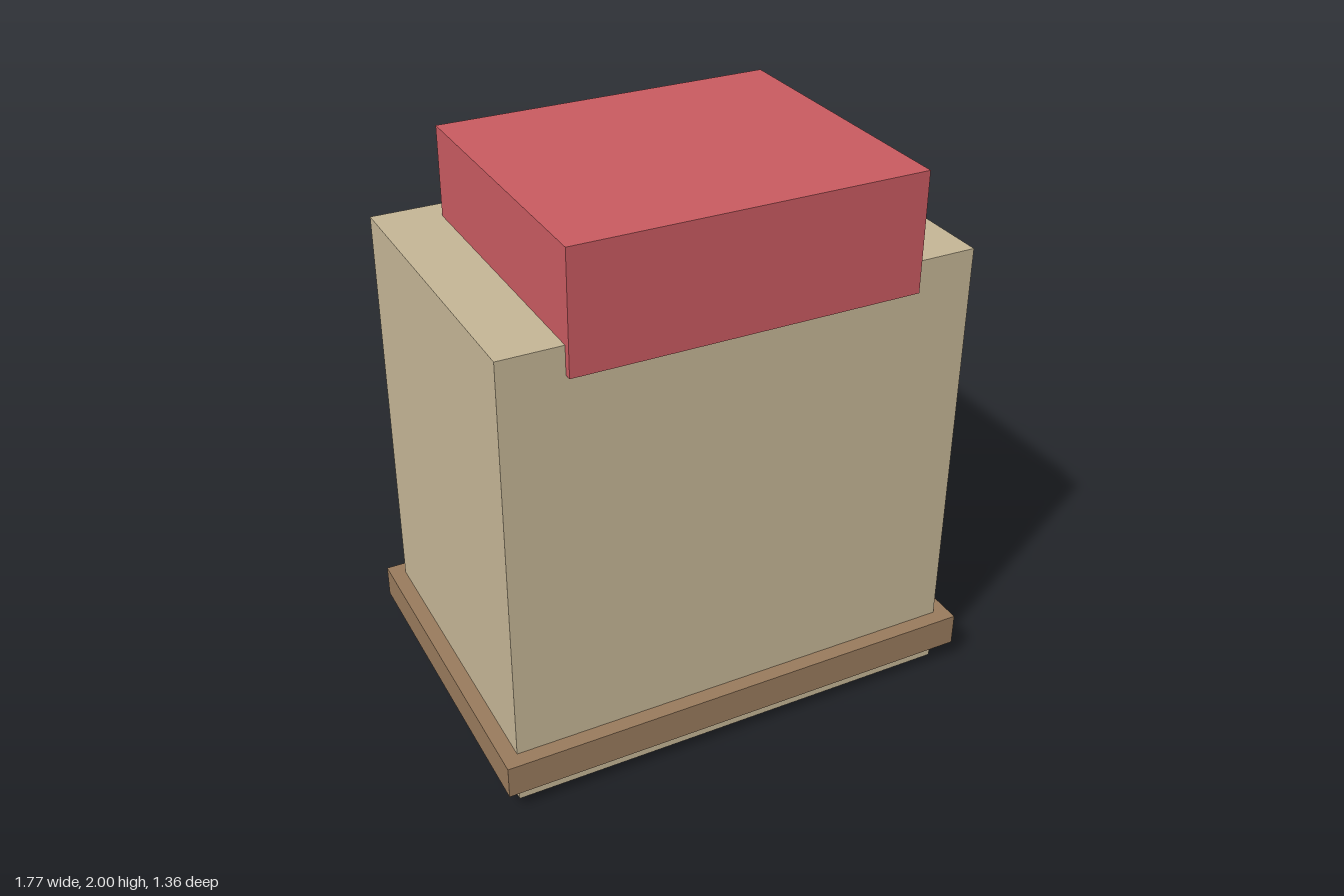
import * as THREE from 'three';

const material = (name, color) => {
  const m = new THREE.MeshStandardMaterial({ color });
  m.name = name;
  return m;
};

export function createModel() {
  const canvas = material('tan canvas', 0xc4b595);
  const red = material('red cloth', 0xc85a60);
  const leather = material('brown leather', 0x987a5c);
  const brass = material('brass', 0xc8b46e);

  const model = new THREE.Group();
  model.name = 'backpack';

  // Box given by its extents along each axis
  const box = (name, mat, [x0, x1], [y0, y1], [z0, z1]) => {
    const mesh = new THREE.Mesh(new THREE.BoxGeometry(x1 - x0, y1 - y0, z1 - z0), mat);
    mesh.position.set((x0 + x1) / 2, (y0 + y1) / 2, (z0 + z1) / 2);
    mesh.name = name;
    model.add(mesh);
  };

  // Main bag, base band and top flap
  box('body', canvas, [-0.83, 0.83], [0, 1.68], [-0.49, 0.625]);
  box('baseBand', leather, [-0.885, 0.885], [0.08, 0.2], [-0.545, 0.68]);
  box('topFlap', red, [-0.61, 0.61], [1.58, 2], [-0.39, 0.65]);
  box('flapTrim', canvas, [-0.52, 0.52], [1.7, 1.88], [-0.435, -0.385]);

  // Closing strap with its clasp
  box('strapCover', red, [-0.15, 0.15], [0.935, 1.73], [-0.635, -0.485]);
  box('strap', leather, [-0.06, 0.06], [0.14, 1.0], [-0.585, -0.48]);
  box('clasp', brass, [-0.105, 0.105], [0.05, 0.23], [-0.68, -0.525]);

  // Mirrored pockets
  box('leftPocket', canvas, [0.26, 0.655], [0.77, 1.16], [-0.62, -0.48]);
  box('rightPocket', canvas, [-0.655, -0.26], [0.77, 1.16], [-0.62, -0.48]);

  return model;
}
